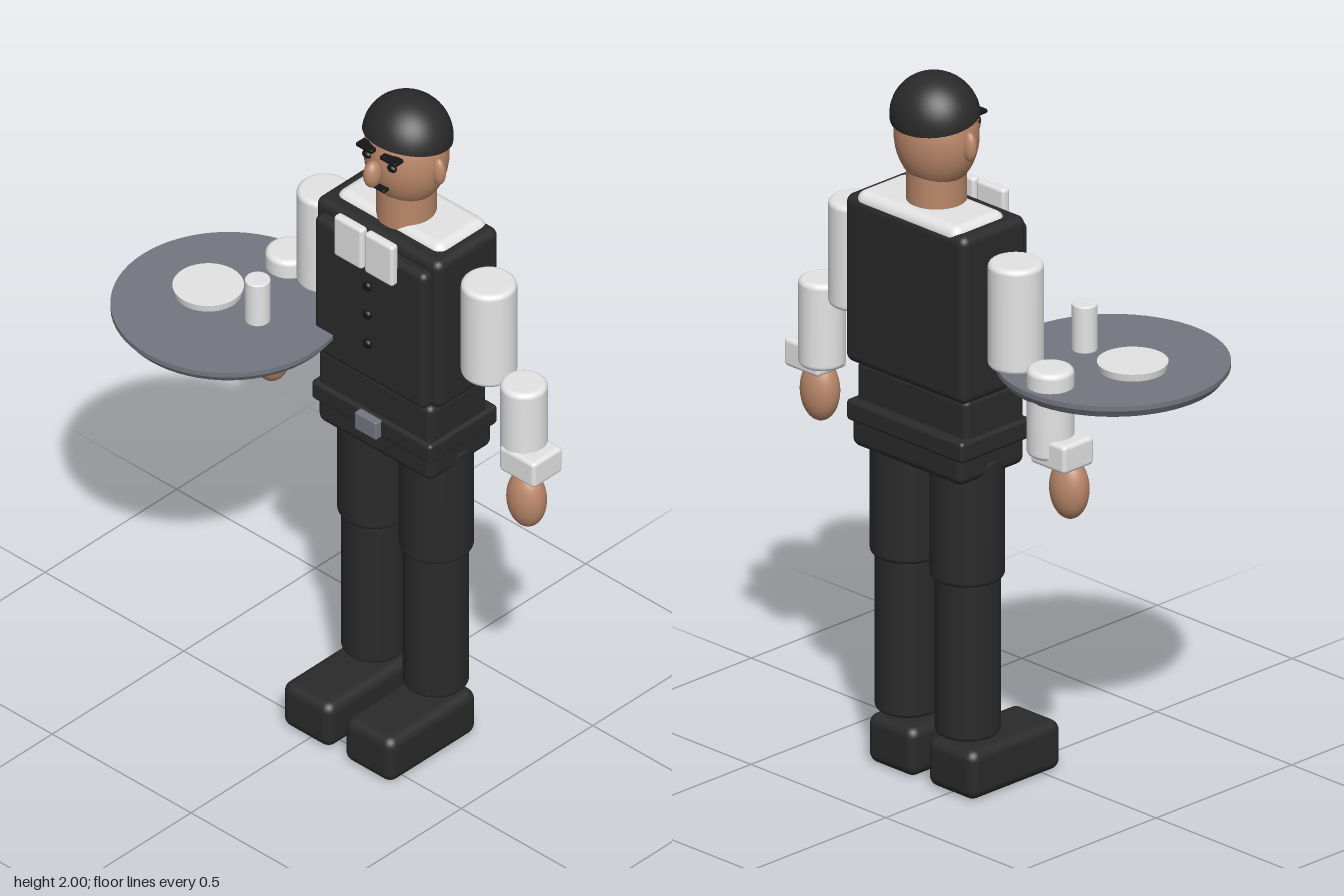
import * as THREE from 'three';
import { RoundedBoxGeometry } from 'three/addons/geometries/RoundedBoxGeometry.js';

export function createModel() {
  const paint = (name, color) => {
    const m = new THREE.MeshStandardMaterial({ color });
    m.name = name;
    return m;
  };
  const black = paint('black cloth', 0x2a2a2a);
  const ink = paint('ink black', 0x141414);
  const white = paint('white cotton', 0xe4e4e4);
  const skin = paint('skin', 0xb98769);
  const metal = paint('grey metal', 0x737780);

  const model = new THREE.Group();
  model.name = 'waiter';
  const CX = 0.103; // the body's own centre line
  const CZ = -0.21;

  const add = (name, geometry, material, x, y, z, parent = model) => {
    const mesh = new THREE.Mesh(geometry, material);
    mesh.name = name;
    mesh.position.set(x, y, z);
    parent.add(mesh);
    return mesh;
  };
  // box with rounded edges, given by its extents
  const box = (name, material, x, [y0, y1], [z0, z1], w, r) =>
    add(name, new RoundedBoxGeometry(w, y1 - y0, z1 - z0, 4, r), material, x, (y0 + y1) / 2, (z0 + z1) / 2);
  const ball = (name, material, x, y, z, rx, ry, rz) =>
    add(name, new THREE.SphereGeometry(1, 36, 24).scale(rx, ry, rz), material, x, y, z);
  // upright cylinder with softened rims
  const post = (name, material, x, [y0, y1], z, r, bevel) => {
    const pts = [new THREE.Vector2(0, y0)];
    pts.push(new THREE.Vector2((r - bevel) * 0.97, y0));
    for (let i = 0; i <= 5; i++) {
      const a = (i / 5) * Math.PI / 2;
      pts.push(new THREE.Vector2(r - bevel + bevel * Math.sin(a), y0 + bevel - bevel * Math.cos(a)));
    }
    for (let i = 0; i <= 5; i++) {
      const a = (i / 5) * Math.PI / 2;
      pts.push(new THREE.Vector2(r - bevel + bevel * Math.cos(a), y1 - bevel + bevel * Math.sin(a)));
    }
    pts.push(new THREE.Vector2((r - bevel) * 0.97, y1), new THREE.Vector2(0, y1));
    return add(name, new THREE.LatheGeometry(pts, 40), material, x, 0, z);
  };

  // head and neck
  ball('head', skin, CX, 1.83, CZ, 0.118, 0.15, 0.108);
  add('neck', new THREE.CylinderGeometry(0.08, 0.08, 0.16, 36), skin, CX, 1.67, CZ);
  ball('nose', skin, CX, 1.823, -0.082, 0.023, 0.04, 0.028);
  box('mouth', ink, CX, [1.766, 1.776], [-0.115, -0.093], 0.06, 0.004);

  // hair cap, tilted back
  const hair = new THREE.Group();
  hair.name = 'hair';
  hair.position.set(CX, 1.882, -0.215);
  hair.rotation.x = -0.18;
  model.add(hair);
  const dome = new THREE.SphereGeometry(1, 40, 16, 0, Math.PI * 2, 0, Math.PI / 2);
  add('hairDome', dome.scale(0.124, 0.119, 0.116), black, 0, 0, 0, hair);
  const under = new THREE.CircleGeometry(1, 40).rotateX(Math.PI / 2);
  add('hairUnderside', under.scale(0.124, 1, 0.116), black, 0, 0, 0, hair);

  // torso
  box('shirtShoulders', white, CX, [1.5, 1.645], [-0.328, -0.135], 0.385, 0.03);
  box('vest', black, CX, [1.15, 1.628], [-0.332, -0.095], 0.448, 0.025);
  box('vestFront', black, CX, [1.155, 1.595], [-0.13, -0.065], 0.40, 0.02);
  box('waist', black, CX, [1.02, 1.155], [-0.305, -0.085], 0.41, 0.02);
  box('hips', black, CX, [0.913, 1.02], [-0.326, -0.083], 0.412, 0.025);
  box('belt', black, CX, [0.985, 1.045], [-0.332, -0.073], 0.432, 0.012);
  box('buckle', metal, CX, [0.987, 1.043], [-0.078, -0.053], 0.078, 0.005);
  for (const y of [1.467, 1.375, 1.28]) ball('button', ink, CX, y, -0.062, 0.014, 0.014, 0.01);

  // paired parts
  for (const [side, s] of [['left', 1], ['right', -1]]) {
    ball(side + 'Ear', skin, CX + s * 0.119, 1.825, -0.207, 0.022, 0.041, 0.017);
    ball(side + 'Eye', ink, CX + s * 0.045, 1.85, -0.108, 0.015, 0.011, 0.01);
    box(side + 'Eyebrow', ink, CX + s * 0.043, [1.872, 1.884], [-0.125, -0.092], 0.058, 0.004);
    box(side + 'CollarTab', white, CX + s * 0.055, [1.525, 1.655], [-0.07, -0.043], 0.102, 0.01);

    post(side + 'UpperArm', white, CX + s * 0.296, [1.257, 1.555], -0.212, 0.074, 0.015);
    post(side + 'Forearm', white, CX + s * 0.423, [1.045, 1.292], -0.211, 0.063, 0.015);
    box(side + 'Cuff', white, CX + s * 0.457, [1.025, 1.105], [-0.258, -0.145], 0.128, 0.012);
    ball(side + 'Hand', skin, CX + s * 0.462, 0.952, -0.18, 0.058, 0.087, 0.048);

    post(side + 'Thigh', black, CX + s * 0.111, [0.605, 0.96], -0.207, 0.099, 0.015);
    post(side + 'Shin', black, CX + s * 0.111, [0.163, 0.615], -0.205, 0.087, 0.012);
    box(side + 'Shoe', black, CX + s * 0.111, [0, 0.14], [-0.275, 0.06], 0.176, 0.03);
  }

  // tray with plate and glass
  const TX = -0.32, TZ = 0.02;
  add('trayTop', new THREE.CylinderGeometry(0.309, 0.309, 0.014, 64), metal, TX, 1.234, TZ);
  add('trayBase', new THREE.CylinderGeometry(0.305, 0.292, 0.022, 64), metal, TX, 1.216, TZ);
  add('plate', new THREE.CylinderGeometry(0.094, 0.09, 0.022, 48), white, -0.393, 1.251, TZ);
  post('glass', white, -0.215, [1.24, 1.373], TZ, 0.034, 0.004);

  return model;
}
